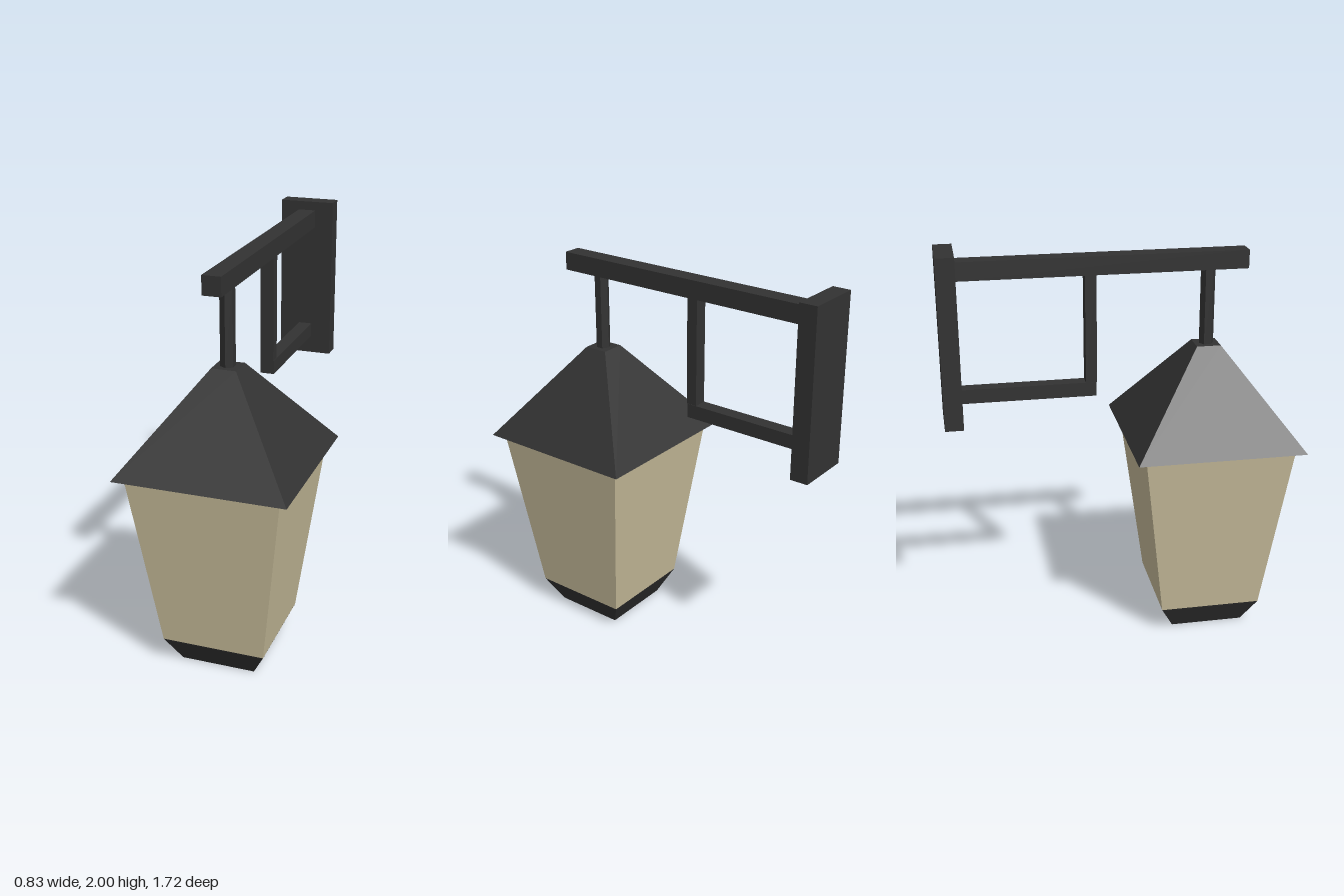
import * as THREE from 'three';

const iron = new THREE.MeshStandardMaterial({ color: 0x323232 });
iron.name = 'blackIron';
// the base cup is an open shell, so it needs both faces
const ironShell = new THREE.MeshStandardMaterial({ color: 0x323232, side: THREE.DoubleSide });
ironShell.name = 'blackIronShell';
const glass = new THREE.MeshStandardMaterial({ color: 0xc8bd9b });
glass.name = 'creamGlass';

const LANTERN_Z = 0.44;

export function createModel() {
  const model = new THREE.Group();
  model.name = 'wallLantern';

  const add = (parent, name, geometry, material) => {
    const mesh = new THREE.Mesh(geometry, material);
    mesh.name = name;
    parent.add(mesh);
    return mesh;
  };

  // box given by half width and its y and z extents
  const bar = (parent, name, halfX, y0, y1, z0, z1) => {
    const mesh = add(parent, name, new THREE.BoxGeometry(halfX * 2, y1 - y0, z1 - z0), iron);
    mesh.position.set(0, (y0 + y1) / 2, (z0 + z1) / 2);
  };

  // faceted prism or frustum with crisp normals
  const faceted = (bottom, top, y0, y1, sides, open = false) => {
    const g = new THREE.CylinderGeometry(top, bottom, y1 - y0, sides, 1, open).toNonIndexed();
    g.translate(0, (y0 + y1) / 2, 0);
    g.computeVertexNormals();
    return g;
  };
  // square frustum given by half widths
  const frustum = (bottom, top, y0, y1, open) =>
    faceted(bottom * Math.SQRT2, top * Math.SQRT2, y0, y1, 4, open).rotateY(Math.PI / 4);

  // wall bracket
  const bracket = new THREE.Group();
  bracket.name = 'bracket';
  model.add(bracket);
  bar(bracket, 'wallPlate', 0.14, 1.165, 2, -0.86, -0.77);
  bar(bracket, 'arm', 0.045, 1.865, 1.955, -0.77, 0.63);
  bar(bracket, 'braceUpright', 0.033, 1.33, 1.865, -0.165, -0.11);
  bar(bracket, 'braceRail', 0.035, 1.26, 1.33, -0.77, -0.115);

  // hanging lantern
  const lantern = new THREE.Group();
  lantern.name = 'lantern';
  lantern.position.z = LANTERN_Z;
  model.add(lantern);
  add(lantern, 'hangerRod', faceted(0.036, 0.036, 1.48, 1.87, 6), iron);
  add(lantern, 'roof', frustum(0.415, 0.06, 1.03, 1.49), iron);
  add(lantern, 'glassBody', frustum(0.255, 0.37, 0.137, 1.03, true), glass);

  // base cup, hollow underneath, closed by a floor plate
  add(lantern, 'baseCup', frustum(0.185, 0.255, 0, 0.137, true), ironShell);
  const floor = add(lantern, 'baseFloor', new THREE.BoxGeometry(0.505, 0.006, 0.505), iron);
  floor.position.y = 0.134;

  return model;
}
